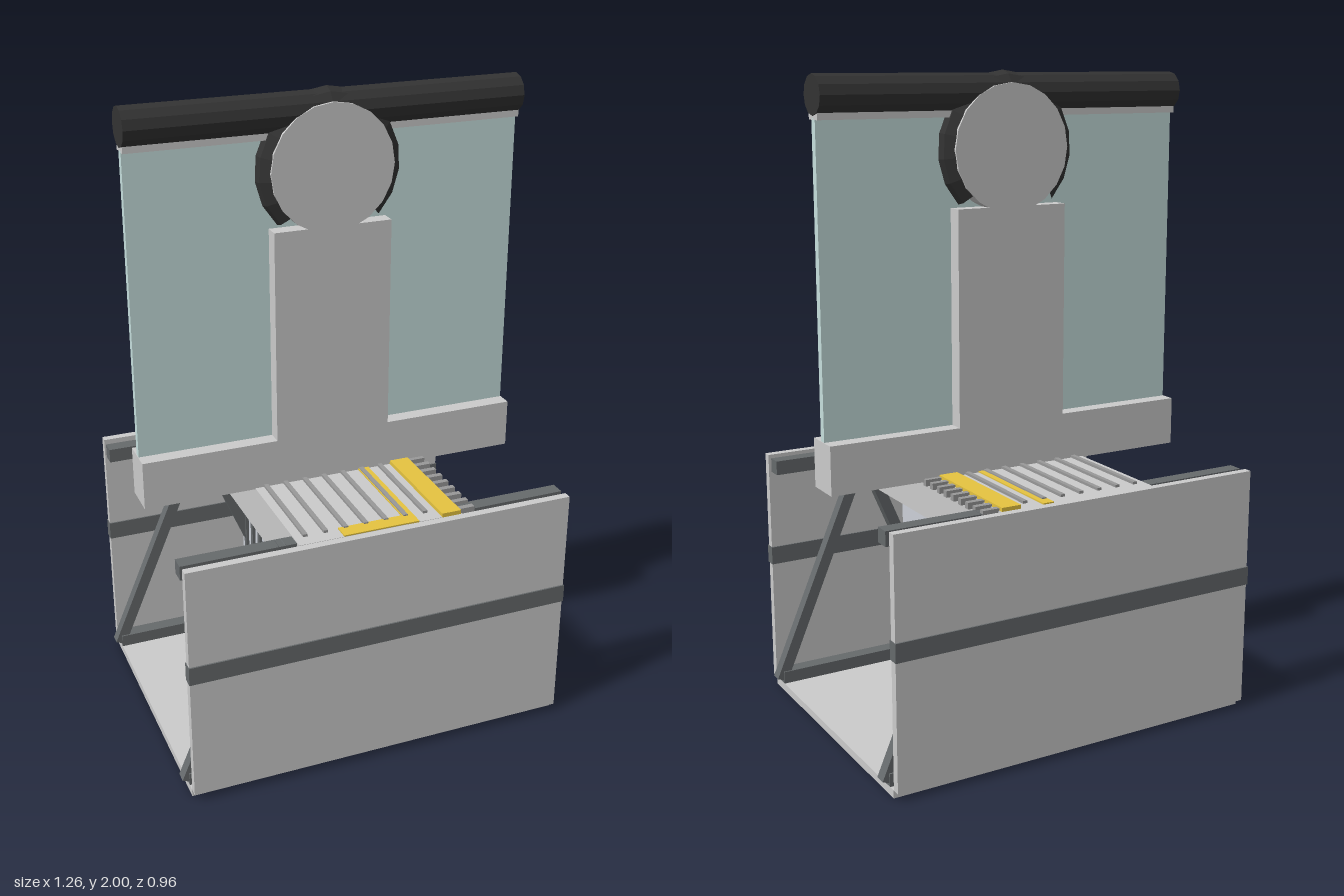
import * as THREE from 'three';

export function createModel() {
  const model = new THREE.Group();
  const mat = (color) => new THREE.MeshStandardMaterial({ color, flatShading: true });
  const grey = mat(0xcccccc), steel = mat(0xccd0d8), dark = mat(0x666a6c), rubber = mat(0x333333);
  const groove = mat(0x999999), yellow = mat(0xe6c440), glass = mat(0xc6dfdd);

  const add = (name, geo, material, parent = model) => {
    const mesh = new THREE.Mesh(geo, material);
    mesh.name = name;
    parent.add(mesh);
    return mesh;
  };
  // Box given by its minimum and maximum on each axis
  const box = (name, x0, x1, y0, y1, z0, z1, material = grey, parent = model) => {
    const m = add(name, new THREE.BoxGeometry(x1 - x0, y1 - y0, z1 - z0), material, parent);
    m.position.set((x0 + x1) / 2, (y0 + y1) / 2, (z0 + z1) / 2);
    return m;
  };

  // Floor and outer cladding
  box('floor', -0.612, 0.612, 0, 0.025, -0.445, 0.445);
  for (const s of [-1, 1]) {
    const side = new THREE.Group();
    side.name = s > 0 ? 'frontSide' : 'backSide';
    model.add(side);
    const z = s * 0.46;
    box('sidePanel', -0.612, 0.612, 0.025, 0.79, z - 0.013, z + 0.013, grey, side);
    box('sideBand', -0.614, 0.614, 0.42, 0.478, z - 0.018, z + 0.018, dark, side);

    // Truss: two chords and a zigzag of struts
    const zt = s * 0.4;
    box('topChord', -0.612, 0.612, 0.74, 0.785, zt - 0.023, zt + 0.023, dark, side);
    box('bottomChord', -0.612, 0.612, 0.025, 0.065, zt - 0.023, zt + 0.023, dark, side);
    const nodes = [[-0.61, 0.05], [-0.305, 0.765], [0, 0.05], [0.305, 0.765], [0.61, 0.05]];
    for (let i = 0; i < 4; i++) {
      const [ax, ay] = nodes[i], [bx, by] = nodes[i + 1];
      const strut = add('strut', new THREE.BoxGeometry(Math.hypot(bx - ax, by - ay) + 0.03, 0.036, 0.036), dark, side);
      strut.position.set((ax + bx) / 2, (ay + by) / 2, zt);
      strut.rotation.z = Math.atan2(by - ay, bx - ax);
    }
  }

  // Step: tread block and riser block
  const step = new THREE.Group();
  step.name = 'step';
  model.add(step);
  box('tread', -0.26, 0.26, 0.64, 0.788, -0.442, 0.442, grey, step);
  box('riserBlock', -0.14, 0.14, 0.24, 0.64, -0.44, 0.44, steel, step);
  for (let i = 0; i < 12; i++) {
    const z = -0.385 + i * 0.07;
    box('riserRib', -0.15, -0.139, 0.25, 0.64, z - 0.01, z + 0.01, dark, step);
  }
  for (let i = 0; i < 7; i++) {
    const x = -0.225 + i * 0.064;
    box('treadRib', x - 0.007, x + 0.007, 0.78, 0.796, -0.405, 0.4, groove, step);
  }
  // Yellow safety markings
  box('combMarking', 0.195, 0.257, 0.78, 0.8, -0.442, 0.442, yellow, step);
  box('lengthMarking', 0.085, 0.12, 0.78, 0.792, -0.442, 0.4, yellow, step);
  box('edgeMarking', -0.12, 0.12, 0.78, 0.792, 0.392, 0.442, yellow, step);
  // Comb teeth
  for (let i = 0; i < 20; i++) {
    const z = -0.418 + i * 0.044;
    box('combTooth', 0.25, 0.31, 0.775, 0.795, z - 0.009, z + 0.009, groove, step);
  }

  // Balustrade
  const balustrade = new THREE.Group();
  balustrade.name = 'balustrade';
  model.add(balustrade);
  box('skirtBase', -0.612, 0.612, 0.785, 0.937, -0.06, 0.06, grey, balustrade);
  box('post', -0.185, 0.185, 0.937, 1.6, -0.06, 0.06, grey, balustrade);
  box('glassPanel', -0.61, 0.61, 0.937, 1.87, -0.012, 0.012, glass, balustrade);
  box('handrailGuide', -0.61, 0.61, 1.865, 1.9, -0.03, 0.03, grey, balustrade);
  const rail = add('handrail', new THREE.CylinderGeometry(0.058, 0.058, 1.224, 12), rubber, balustrade);
  rail.rotation.z = Math.PI / 2;
  rail.position.y = 1.934;

  // Round end: grey disc with a handrail loop, open at the bottom
  const disc = add('newelDisc', new THREE.CylinderGeometry(0.192, 0.192, 0.12, 20), grey, balustrade);
  disc.rotation.x = Math.PI / 2;
  disc.position.y = 1.772;
  const gap = 0.78;
  const loop = add('handrailLoop', new THREE.TorusGeometry(0.173, 0.057, 10, 14, Math.PI * 2 - gap * 2), rubber, balustrade);
  loop.rotation.z = -Math.PI / 2 + gap;
  loop.position.y = 1.77;

  return model;
}
